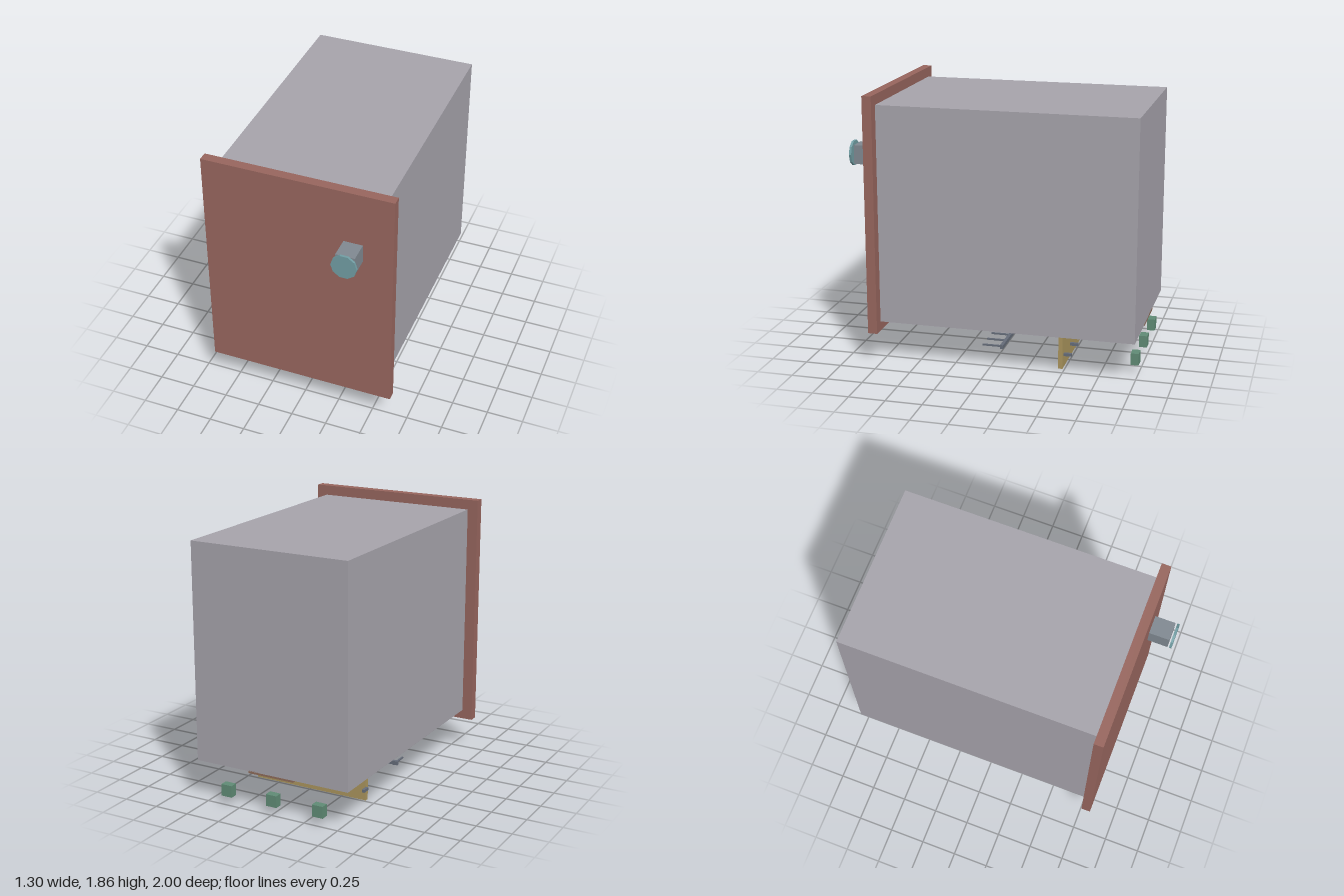
import * as THREE from 'three';

const COLORS = {
  body: 0xa5a2aa, brick: 0x96655d, grey: 0x7f8890, teal: 0x709ca2, sand: 0xa8935c,
  beige: 0xb5a89c, trim: 0x8d6a58, slate: 0x646b78, green: 0x5f8a74, pale: 0xb4b1ae,
};
const mats = {};
for (const k in COLORS) mats[k] = new THREE.MeshStandardMaterial({ color: COLORS[k], flatShading: true });

// Box given by its extents along each axis
function box(parent, name, mat, [x0, x1], [y0, y1], [z0, z1]) {
  const m = new THREE.Mesh(new THREE.BoxGeometry(x1 - x0, y1 - y0, z1 - z0), mats[mat]);
  m.position.set((x0 + x1) / 2, (y0 + y1) / 2, (z0 + z1) / 2);
  m.name = name;
  parent.add(m);
  return m;
}

// Rectangular ring lying in the xz plane
function ring(parent, name, mat, [x0, x1], [y0, y1], [z0, z1], t) {
  const rect = (P, i) => new P([[x0 + i, -z1 + i], [x1 - i, -z1 + i], [x1 - i, -z0 - i], [x0 + i, -z0 - i]]
    .map(([x, y]) => new THREE.Vector2(x, y)));
  const shape = rect(THREE.Shape, 0);
  shape.holes.push(rect(THREE.Path, t));
  const g = new THREE.ExtrudeGeometry(shape, { depth: y1 - y0, bevelEnabled: false });
  g.rotateX(-Math.PI / 2);
  const m = new THREE.Mesh(g, mats[mat]);
  m.position.y = y0;
  m.name = name;
  parent.add(m);
}

export function createModel() {
  const model = new THREE.Group();
  model.name = 'model';

  // Main block and the wider slab on its front
  box(model, 'body', 'body', [-0.575, 0.575], [0.28, 1.79], [-1, 0.77]);
  box(model, 'frontSlab', 'brick', [-0.65, 0.65], [0.215, 1.86], [0.765, 0.83]);

  // Square stem with a ten-sided disc floating just ahead of it
  box(model, 'stem', 'grey', [0.316, 0.446], [1.35, 1.48], [0.83, 0.972]);
  const disc = new THREE.Mesh(new THREE.CylinderGeometry(0.088, 0.088, 0.016, 10), mats.teal);
  disc.name = 'disc';
  disc.rotation.set(Math.PI / 2, Math.PI / 2, 0, 'XYZ');
  disc.position.set(0.382, 1.415, 0.992);
  model.add(disc);

  // Three by three windows on the underside, each with a sill
  for (const z of [0.365, -0.118, -0.6]) {
    for (const x of [-0.355, 0, 0.355]) {
      const w = new THREE.Group();
      w.name = 'window';
      w.position.set(x, 0, z);
      ring(w, 'windowFrame', 'beige', [-0.09, 0.09], [0.26, 0.281], [-0.095, 0.095], 0.016);
      box(w, 'windowPane', 'teal', [-0.075, 0.075], [0.25, 0.281], [-0.08, 0.08]);
      box(w, 'windowSill', 'trim', [-0.095, 0.095], [0.235, 0.26], [-0.1, -0.082]);
      model.add(w);
    }
  }

  // Door at the back of the underside
  ring(model, 'doorFrame', 'trim', [-0.17, 0.17], [0.266, 0.285], [-1, -0.54], 0.03);
  ring(model, 'doorLeaf', 'trim', [-0.14, 0.14], [0.255, 0.281], [-0.95, -0.57], 0.02);
  box(model, 'doorPane', 'teal', [-0.12, 0.12], [0.262, 0.281], [-0.93, -0.59]);

  // Pale sign panel
  box(model, 'signPanel', 'pale', [-0.2, 0.18], [0.225, 0.265], [0.02, 0.1]);

  // Rail with eight thin rods
  box(model, 'rail', 'slate', [-0.46, 0.458], [0.115, 0.142], [-0.075, -0.053]);
  for (let i = 0; i < 8; i++) {
    const x = -0.42 + i * 0.116;
    box(model, 'railRod', 'slate', [x - 0.006, x + 0.006], [0.104, 0.115], [-0.055, 0.088]);
  }

  // Upright board with five pegs on its back
  box(model, 'board', 'sand', [-0.43, 0.43], [0, 0.27], [-0.485, -0.455]);
  for (let i = 0; i < 5; i++) {
    const x = -0.44 + i * 0.206;
    box(model, 'peg', 'slate', [x - 0.01, x + 0.01], [0.08, 0.1], [-0.54, -0.484]);
  }

  // Three small blocks along the back edge
  for (const x of [-0.35, 0, 0.35]) {
    box(model, 'smallBlock', 'green', [x - 0.04, x + 0.04], [0.06, 0.143], [-1, -0.945]);
  }
  return model;
}
